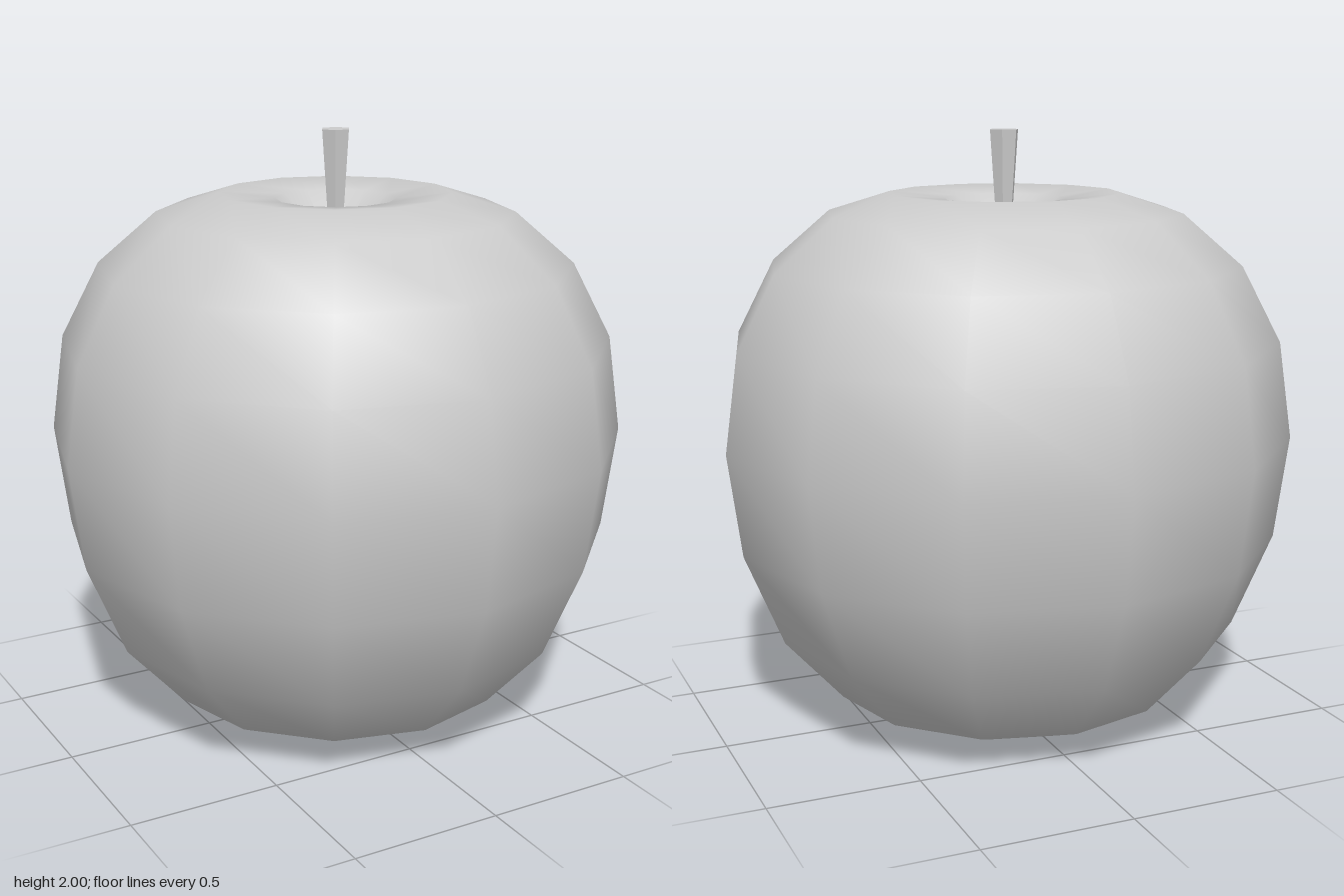
import * as THREE from 'three';

export function createModel() {
  const model = new THREE.Group();

  // Body: twelve-sided smooth lathe, with a pit at each pole
  const profile = [
    [0, 0.12], [0.2, 0], [0.385, 0.02], [0.593, 0.11], [0.79, 0.33], [0.92, 0.645],
    [0.965, 0.99],
    [0.92, 1.31], [0.79, 1.56], [0.593, 1.73], [0.385, 1.795], [0.2, 1.775], [0, 1.59],
  ].map(([r, y]) => new THREE.Vector2(r, y));
  const body = new THREE.Mesh(
    new THREE.LatheGeometry(profile, 12),
    new THREE.MeshStandardMaterial({ color: 0xcccccc })
  );
  body.name = 'fruitBody';
  model.add(body);

  // Stem: six-sided, widening upwards out of the top pit
  const stemBottom = 1.58, stemTop = 2;
  const stemGeometry = new THREE.CylinderGeometry(0.05, 0.02, stemTop - stemBottom, 6);
  stemGeometry.rotateY(Math.PI / 6);
  const stem = new THREE.Mesh(
    stemGeometry,
    new THREE.MeshStandardMaterial({ color: 0xcccccc, flatShading: true })
  );
  stem.position.y = (stemBottom + stemTop) / 2;
  stem.name = 'stem';
  model.add(stem);

  return model;
}
